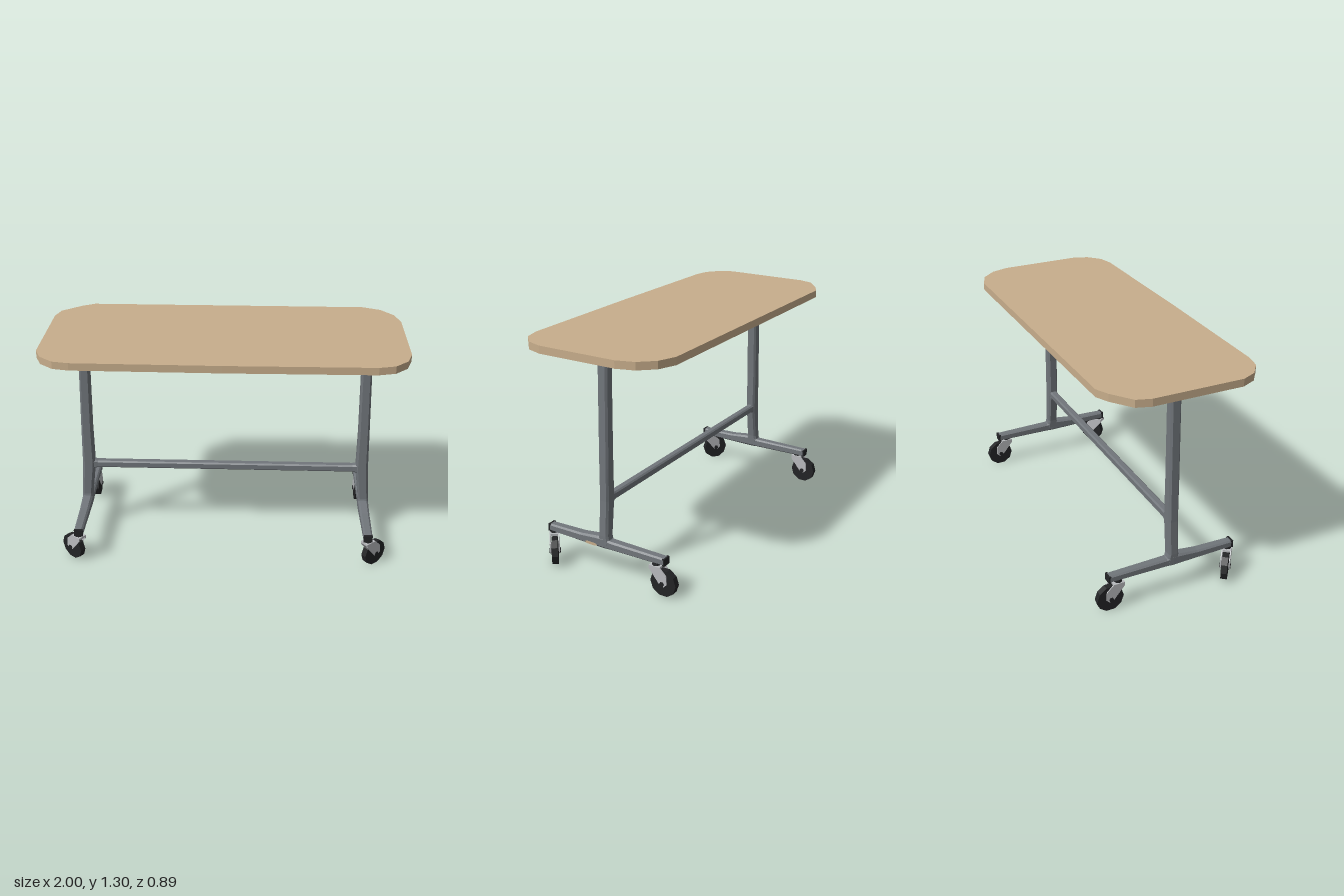
import * as THREE from 'three';

const std = (name, color) => {
  const m = new THREE.MeshStandardMaterial({ color });
  m.name = name;
  return m;
};

// Chamfered rectangular beam lofted along an axis.
// Each section: [position on axis, centre a, centre b, half size a, half size b]
const AXES = { x: [0, 1, 2], y: [1, 2, 0], z: [2, 0, 1] }; // axis, a, b
function beam(axis, sections, chamfer = 0.35) {
  const [t, a, b] = AXES[axis];
  const k = 1 - chamfer;
  const outline = [[1, -k], [1, k], [k, 1], [-k, 1], [-1, k], [-1, -k], [-k, -1], [k, -1]];
  const point = (s, ca, cb) => {
    const p = [0, 0, 0];
    p[t] = s[0]; p[a] = s[1] + ca * s[3]; p[b] = s[2] + cb * s[4];
    return p;
  };
  const rings = sections.map((s) => outline.map(([u, v]) => point(s, u, v)));
  const pos = [];
  const n = outline.length;
  for (let i = 0; i < rings.length - 1; i++) {
    for (let j = 0; j < n; j++) {
      const q = (j + 1) % n, lo = rings[i], hi = rings[i + 1];
      pos.push(...lo[j], ...lo[q], ...hi[q], ...lo[j], ...hi[q], ...hi[j]);
    }
  }
  const first = rings[0], last = rings[rings.length - 1];
  for (let j = 1; j < n - 1; j++) {
    pos.push(...first[0], ...first[j + 1], ...first[j]);
    pos.push(...last[0], ...last[j], ...last[j + 1]);
  }
  const g = new THREE.BufferGeometry();
  g.setAttribute('position', new THREE.Float32BufferAttribute(pos, 3));
  g.computeVertexNormals();
  return g;
}

export function createModel() {
  const wood = std('wood', 0xc8ae8c);
  const steel = std('steel', 0x71767b);
  const rubber = std('rubber', 0x232426);
  const bracket = std('bracket', 0xb9bbbe);
  for (const m of [wood, steel, rubber, bracket]) m.flatShading = true;

  const model = new THREE.Group();
  model.name = 'rollingTable';
  const add = (parent, name, geometry, material, x = 0, y = 0, z = 0) => {
    const mesh = new THREE.Mesh(geometry, material);
    mesh.name = name;
    mesh.position.set(x, y, z);
    parent.add(mesh);
    return mesh;
  };

  // Table top: slab with faceted round corners, listed as x, z
  const outline = [
    [-0.79, -0.42], [-0.86, -0.385], [-0.97, -0.3], [-0.995, -0.22],
    [-1, 0.28], [-0.965, 0.36], [-0.89, 0.42], [-0.8, 0.437], [0, 0.443],
    [0.81, 0.437], [0.9, 0.415], [0.97, 0.35], [1, 0.26],
    [1, -0.2], [0.97, -0.3], [0.9, -0.38], [0.8, -0.42],
  ];
  const slab = new THREE.Shape(outline.map(([x, z]) => new THREE.Vector2(x, -z)));
  const top = new THREE.ExtrudeGeometry(slab, { depth: 0.042, bevelEnabled: false });
  top.rotateX(-Math.PI / 2);
  add(model, 'tableTop', top, wood, 0, 1.26, 0);

  // Caster: swivel at the origin, wheel trailing towards -z
  const sideShape = new THREE.Shape([
    [-0.03, 0.17], [-0.03, 0.15], [0.035, 0.07], [0.06, 0.062],
    [0.078, 0.08], [0.075, 0.13], [0.035, 0.17],
  ].map(([u, v]) => new THREE.Vector2(u, v)));
  const sideGeo = new THREE.ExtrudeGeometry(sideShape, { depth: 0.006, bevelEnabled: false });
  sideGeo.rotateY(Math.PI / 2).translate(-0.003, 0, 0);
  const wheelGeo = new THREE.CylinderGeometry(0.078, 0.078, 0.034, 10).rotateZ(Math.PI / 2);
  const hubGeo = new THREE.CylinderGeometry(0.014, 0.014, 0.062, 6).rotateZ(Math.PI / 2);
  const crownGeo = new THREE.BoxGeometry(0.052, 0.012, 0.065);
  const stemGeo = new THREE.CylinderGeometry(0.02, 0.024, 0.02, 8);
  function caster(name, x, z, yaw) {
    const g = new THREE.Group();
    g.name = name;
    g.position.set(x, 0, z);
    g.rotation.y = yaw;
    add(g, 'wheel', wheelGeo, rubber, 0, 0.078, -0.05);
    add(g, 'axle', hubGeo, rubber, 0, 0.078, -0.05);
    for (const s of [-1, 1]) add(g, 'forkSide', sideGeo, bracket, s * 0.024, 0, 0);
    add(g, 'forkCrown', crownGeo, bracket, 0, 0.164, -0.002);
    add(g, 'swivelStem', stemGeo, rubber, 0, 0.176, 0);
    model.add(g);
  }

  for (const s of [-1, 1]) {
    const side = s > 0 ? 'left' : 'right';

    // Leaning post
    add(model, side + 'Post', beam('y', [
      [0.2, 0.01, s * 0.837, 0.04, 0.03],
      [0.25, 0.01, s * 0.836, 0.029, 0.03],
      [0.45, 0.01, s * 0.815, 0.029, 0.036],
      [0.7, 0.01, s * 0.811, 0.03, 0.032],
      [1.22, 0.01, s * 0.796, 0.03, 0.029],
      [1.265, 0.01, s * 0.796, 0.035, 0.033],
    ]), steel);

    // Foot, thicker under the post
    add(model, side + 'Foot', beam('z', [
      [-0.37, s * 0.837, 0.2, 0.025, 0.021],
      [-0.03, s * 0.837, 0.2, 0.028, 0.025],
      [0.01, s * 0.837, 0.207, 0.03, 0.034],
      [0.05, s * 0.837, 0.206, 0.03, 0.032],
      [0.16, s * 0.837, 0.2, 0.028, 0.025],
      [0.376, s * 0.837, 0.199, 0.025, 0.021],
    ]), steel);
    for (const z of [-0.371, 0.381]) {
      add(model, side + 'FootCap', new THREE.BoxGeometry(0.05, 0.042, 0.014), rubber, s * 0.837, 0.199, z);
    }

    caster(side + 'FrontCaster', s * 0.84, 0.365, -s * 0.9);
    caster(side + 'BackCaster', s * 0.845, -0.318, 0);
  }

  // Crossbar with small flares where it meets the posts
  add(model, 'crossbar', beam('x', [
    [-0.8, 0.452, 0.01, 0.032, 0.025],
    [-0.76, 0.454, 0.01, 0.022, 0.022],
    [0.76, 0.454, 0.01, 0.022, 0.022],
    [0.8, 0.452, 0.01, 0.032, 0.025],
  ]), steel);

  // Small wooden inlay on the outer lower edge of the left foot
  add(model, 'footInlay', beam('x', [
    [0.859, 0.186, 0.09, 0.009, 0.042],
    [0.867, 0.186, 0.09, 0.008, 0.036],
  ]), wood);

  return model;
}
